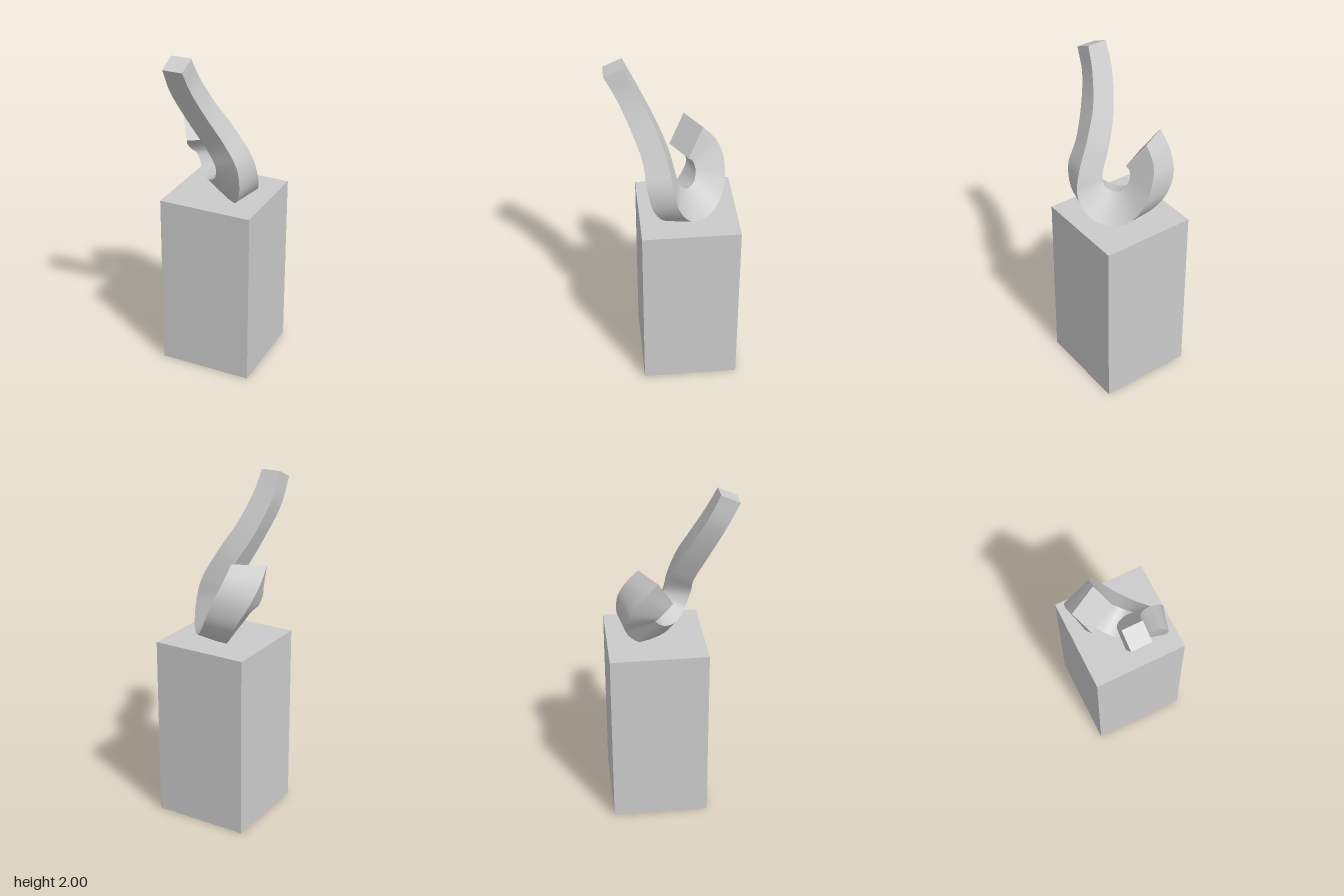
import * as THREE from 'three';

const material = new THREE.MeshStandardMaterial({ color: 0xcccccc, side: THREE.DoubleSide });
const STEPS = 96;

// Smooth edge rail through a few points, sampled at matching stations
function rail(points) {
  const curve = new THREE.CatmullRomCurve3(points.map((p) => new THREE.Vector3(...p)), false, 'catmullrom', 0.5);
  return Array.from({ length: STEPS + 1 }, (_, i) => curve.getPoint(i / STEPS));
}

// Four-sided bar lofted between four rails, with sharp long edges and flat ends
function loftBar(rails) {
  const positions = [];
  const index = [];
  const put = (v) => positions.push(v.x, v.y, v.z) / 3 - 1;
  const quad = (a, b, c, d) => index.push(a, b, c, a, c, d);
  rails.forEach((a, k) => {
    const b = rails[(k + 1) % 4];
    for (let i = 0; i <= STEPS; i++) {
      const n = put(a[i]);
      put(b[i]);
      if (i > 0) quad(n - 2, n - 1, n + 1, n);
    }
  });
  const start = rails.map((r) => put(r[0]));
  const end = rails.map((r) => put(r[STEPS]));
  quad(...start.reverse());
  quad(...end);
  const geometry = new THREE.BufferGeometry();
  geometry.setAttribute('position', new THREE.Float32BufferAttribute(positions, 3));
  geometry.setIndex(index);
  geometry.computeVertexNormals();
  return geometry;
}

export function createModel() {
  const model = new THREE.Group();

  // Tall plinth, hollow and open underneath
  const box = new THREE.BoxGeometry(0.566, 1.08, 0.566);
  const sides = Array.from(box.index.array).filter((_, i) => i < 18 || i >= 24);
  box.setIndex(sides);
  box.clearGroups();
  const plinth = new THREE.Mesh(box, material);
  plinth.name = 'plinth';
  plinth.position.set(0, 0.54, -0.086);
  model.add(plinth);

  // Curling bar: leans forward at the top, widens and twists into the hook
  const outerBack = rail([
    [-0.037, 2, 0.26], [-0.017, 1.87, 0.195], [0.037, 1.71, 0.115], [0.12, 1.56, 0.055],
    [0.212, 1.385, 0.012], [0.24, 1.25, -0.015], [0.21, 1.14, -0.085], [0.14, 1.105, -0.18],
    [0.06, 1.145, -0.262], [-0.008, 1.25, -0.305], [-0.065, 1.38, -0.303], [-0.1, 1.48, -0.26],
    [-0.107, 1.56, -0.188],
  ]);
  const outerFront = rail([
    [-0.037, 1.952, 0.367], [-0.02, 1.82, 0.3], [0.036, 1.665, 0.234], [0.115, 1.5, 0.175],
    [0.185, 1.36, 0.157], [0.185, 1.2, 0.12], [0.125, 1.085, 0.045], [0.03, 1.04, -0.07],
    [-0.075, 1.085, -0.185], [-0.175, 1.215, -0.268], [-0.252, 1.345, -0.256], [-0.283, 1.455, -0.185],
    [-0.28, 1.555, -0.094],
  ]);
  const innerBack = rail([
    [-0.155, 2, 0.26], [-0.145, 1.845, 0.185], [-0.085, 1.655, 0.09], [-0.005, 1.495, 0.02],
    [0.066, 1.36, -0.016], [0.08, 1.305, -0.036], [0.067, 1.268, -0.066], [0.04, 1.255, -0.097],
    [0.01, 1.27, -0.125], [-0.02, 1.31, -0.137], [-0.036, 1.345, -0.134], [-0.043, 1.38, -0.12],
    [-0.035, 1.4, -0.098],
  ]);
  // Fourth edge completes each cross-section as a parallelogram
  const innerFront = innerBack.map((p, i) => p.clone().add(outerFront[i]).sub(outerBack[i]));

  const bar = new THREE.Mesh(loftBar([outerFront, innerFront, innerBack, outerBack]), material);
  bar.name = 'curledBar';
  model.add(bar);

  return model;
}
